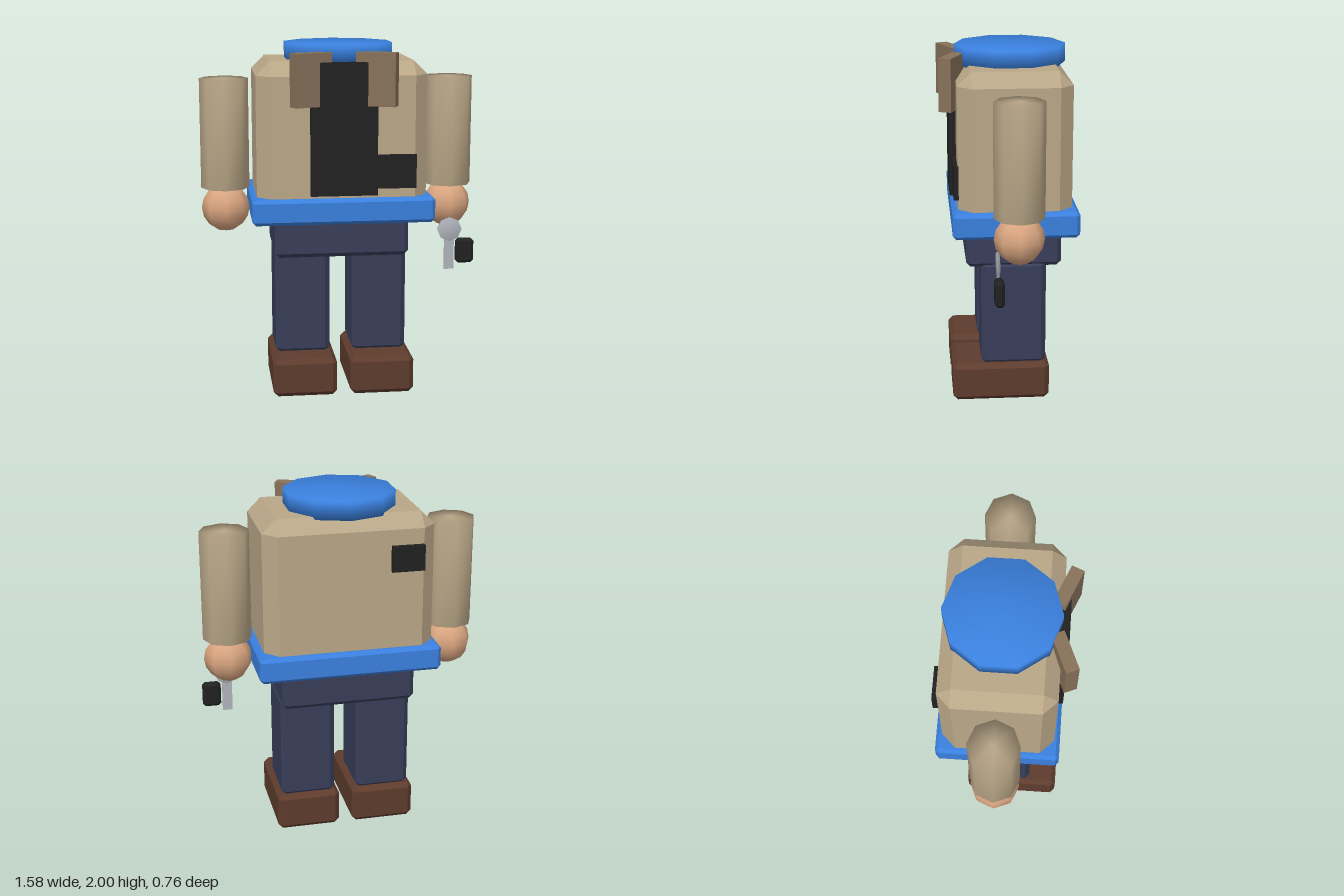
import * as THREE from 'three';
import { mergeVertices } from 'three/addons/utils/BufferGeometryUtils.js';
import { ConvexGeometry } from 'three/addons/geometries/ConvexGeometry.js';

const material = (name, color) => {
  const m = new THREE.MeshStandardMaterial({ color });
  m.name = name;
  return m;
};

// Box between two corners with every edge chamfered by c
function chamferBox([x0, y0, z0], [x1, y1, z1], c) {
  const centre = new THREE.Vector3(x0 + x1, y0 + y1, z0 + z1).multiplyScalar(0.5);
  const half = [(x1 - x0) / 2, (y1 - y0) / 2, (z1 - z0) / 2];
  const points = [];
  for (const sx of [-1, 1]) for (const sy of [-1, 1]) for (const sz of [-1, 1]) {
    for (let full = 0; full < 3; full++) {
      const h = half.map((v, i) => (i === full ? v : v - c));
      points.push(new THREE.Vector3(sx * h[0], sy * h[1], sz * h[2]).add(centre));
    }
  }
  return new ConvexGeometry(points);
}

// Plain box between two corners
function box([x0, y0, z0], [x1, y1, z1]) {
  return new THREE.BoxGeometry(x1 - x0, y1 - y0, z1 - z0)
    .translate((x0 + x1) / 2, (y0 + y1) / 2, (z0 + z1) / 2);
}

// Cylinder whose shading runs softly over the rims
function softCylinder(radius, height, sides) {
  const g = new THREE.CylinderGeometry(radius, radius, height, sides);
  g.deleteAttribute('normal');
  g.deleteAttribute('uv');
  const merged = mergeVertices(g, 1e-4);
  merged.computeVertexNormals();
  return merged;
}

export function createModel() {
  const tan = material('tan jacket', 0xbaa788);
  const lapelBrown = material('lapel brown', 0x87715a);
  const blue = material('blue', 0x3a80de);
  const navy = material('navy trousers', 0x383e5a);
  const brown = material('shoe brown', 0x5e3c2d);
  const skin = material('skin', 0xd9a580);
  const black = material('black', 0x212121);
  const steel = material('steel', 0xb0b4bc);

  const model = new THREE.Group();
  model.name = 'figure';
  const add = (name, geometry, mat) => {
    const mesh = new THREE.Mesh(geometry, mat);
    mesh.name = name;
    model.add(mesh);
    return mesh;
  };

  // Body
  add('torso', chamferBox([-0.487, 1.03, -0.345], [0.475, 1.91, 0.285], 0.077), tan);
  add('belt', chamferBox([-0.518, 1.005, -0.38], [0.514, 1.152, 0.318], 0.02), blue);
  add('hips', chamferBox([-0.388, 0.8, -0.293], [0.375, 1.05, 0.24], 0.025), navy);
  add('collar', softCylinder(0.315, 0.103, 10).translate(-0.004, 1.9485, -0.03), blue);

  // Limbs, one set per side
  for (const side of [-1, 1]) {
    const label = side < 0 ? 'right' : 'left';
    const legX = -0.005 + side * 0.222;
    const armX = -0.006 + side * 0.65;
    add(label + 'Leg', chamferBox([legX - 0.157, 0.21, -0.21], [legX + 0.157, 0.83, 0.157], 0.028), navy);
    add(label + 'Shoe', chamferBox([legX - 0.183, 0, -0.23], [legX + 0.183, 0.222, 0.322], 0.027), brown);
    add(label + 'Arm', softCylinder(0.139, 0.63, 8).translate(armX, 1.485, -0.032), tan);
    add(label + 'Hand', new THREE.SphereGeometry(0.138, 8, 8).translate(armX, 1.052, -0.032), skin);

    // Angled lapel
    const lapel = add(label + 'Lapel', new THREE.BoxGeometry(0.224, 0.295, 0.073), lapelBrown);
    lapel.position.set(-0.005 + side * 0.183, 1.817, 0.302);
    lapel.rotation.y = -side * 0.4;
  }

  // Dark panels on the jacket
  add('shirtPanel', box([-0.192, 1.17, 0.26], [0.182, 1.67, 0.322]), black);
  add('shirtPanelTop', box([-0.14, 1.67, 0.26], [0.125, 1.911, 0.322]), black);
  add('frontPocket', box([0.18, 1.205, 0.26], [0.403, 1.395, 0.308]), black);
  add('backPatch', box([-0.41, 1.6, -0.373], [-0.226, 1.745, -0.33]), black);

  // Key and fob hanging from the left hand
  add('keyHead', softCylinder(0.071, 0.016, 8).rotateX(Math.PI / 2).translate(0.643, 0.912, 0.083), steel);
  add('keyShaft', box([0.613, 0.673, 0.077], [0.67, 0.88, 0.089]), steel);
  add('keyFob', chamferBox([0.68, 0.71, 0.055], [0.786, 0.855, 0.108], 0.016), black);

  return model;
}
